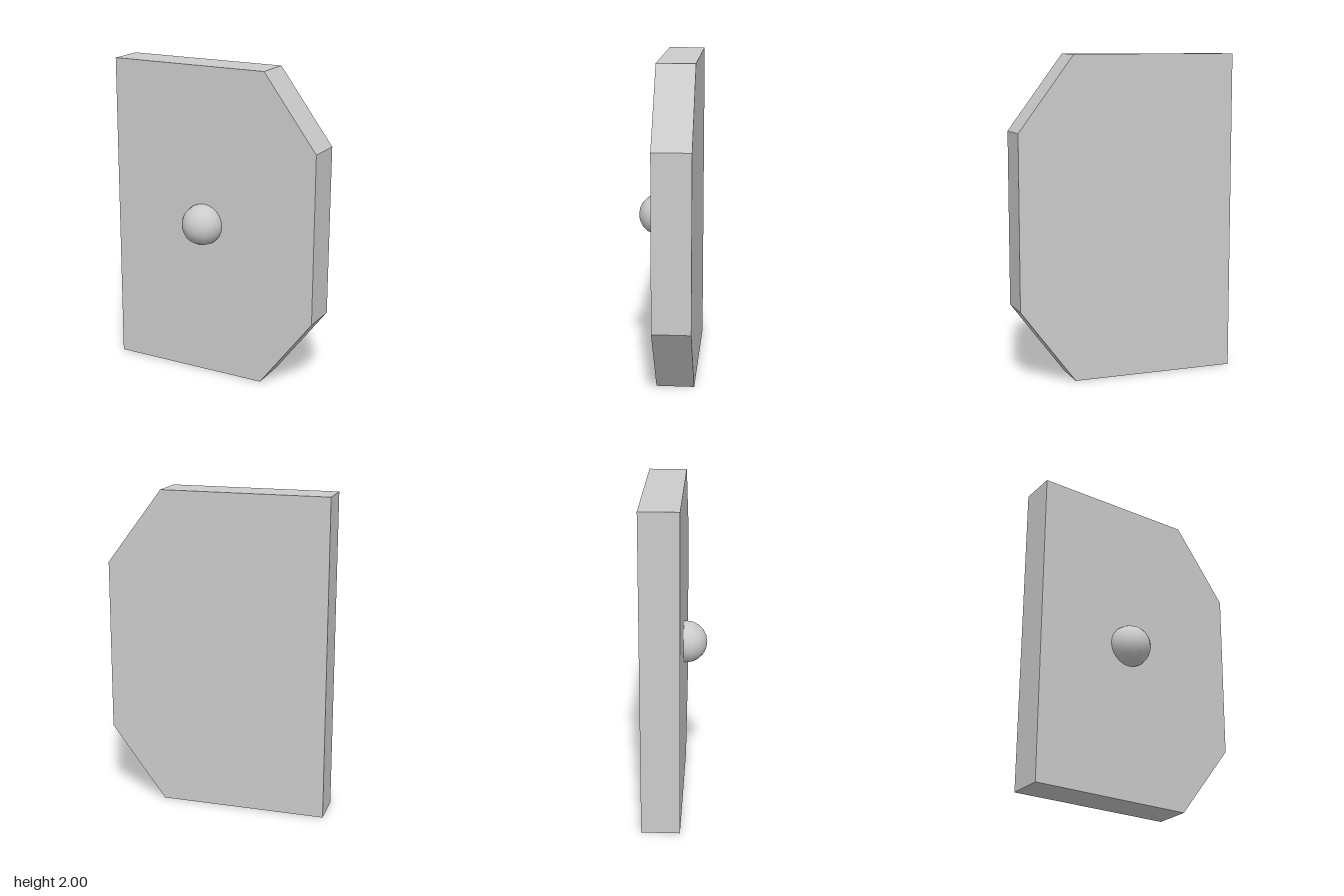
import * as THREE from 'three';

export function createModel() {
  const model = new THREE.Group();
  const grey = new THREE.MeshStandardMaterial({ color: 0xcccccc });

  // Flat panel with two chamfered corners on its left side
  const back = -0.19, front = 0.045;
  const outline = new THREE.Shape([
    [-0.695, 0], [0.347, 0], [0.695, 0.462], [0.695, 1.538], [0.347, 2], [-0.695, 2],
  ].map(([x, y]) => new THREE.Vector2(x, y)));
  const panel = new THREE.Mesh(
    new THREE.ExtrudeGeometry(outline, { depth: front - back, bevelEnabled: false }), grey);
  panel.name = 'panel';
  panel.position.z = back;
  model.add(panel);

  // Round knob half sunk into the front, its pole facing forward
  const knob = new THREE.Mesh(new THREE.SphereGeometry(0.132, 24, 10).rotateX(Math.PI / 2), grey);
  knob.name = 'knob';
  knob.position.set(-0.063, 1, 0.058);
  model.add(knob);

  return model;
}
